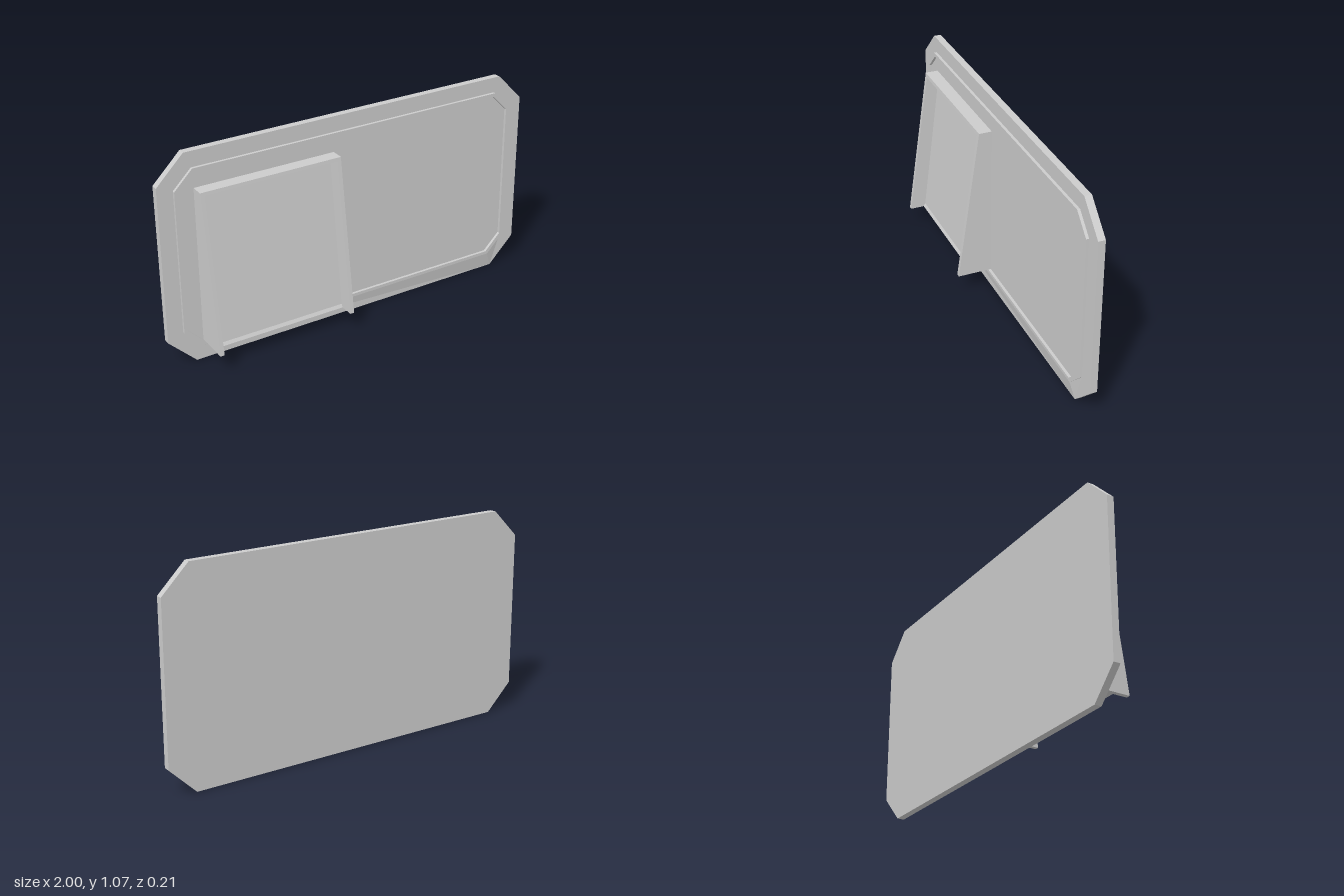
import * as THREE from 'three';

const material = new THREE.MeshStandardMaterial({ color: 0xcccccc, flatShading: true });

function addMesh(parent, name, geometry) {
  const mesh = new THREE.Mesh(geometry, material);
  mesh.name = name;
  parent.add(mesh);
  return mesh;
}

// Rectangle with cut corners, counter-clockwise from the lower left
function octagon(halfWidth, bottom, top, cut) {
  const w = halfWidth, c = w - cut;
  return [[-c, bottom], [c, bottom], [w, bottom + cut], [w, top - cut],
    [c, top], [-c, top], [-w, top - cut], [-w, bottom + cut]];
}

const toShape = (points) => new THREE.Shape(points.map(([x, y]) => new THREE.Vector2(x, y)));

// Extrude a [z, y] profile sideways from x0 to x1
function sideProfile(points, x0, x1) {
  const g = new THREE.ExtrudeGeometry(toShape(points), { depth: x1 - x0, bevelEnabled: false });
  return g.rotateY(-Math.PI / 2).translate(x1, 0, 0);
}

// Join successive closed loops of [x, y, z] points with quads
function loft(loops) {
  const positions = [];
  for (let i = 0; i + 1 < loops.length; i++) {
    const n = loops[i].length;
    for (let j = 0; j < n; j++) {
      const k = (j + 1) % n;
      const a = loops[i][j], b = loops[i][k], c = loops[i + 1][k], d = loops[i + 1][j];
      positions.push(...a, ...b, ...d, ...b, ...c, ...d);
    }
  }
  const g = new THREE.BufferGeometry();
  g.setAttribute('position', new THREE.Float32BufferAttribute(positions, 3));
  g.computeVertexNormals();
  return g;
}

export function createModel() {
  const model = new THREE.Group();
  model.name = 'wallPanel';
  const back = -0.105, face = -0.07, rimFront = -0.056;

  // Back plate with cut corners
  const plate = new THREE.ExtrudeGeometry(toShape(octagon(1, 0, 1.066, 0.138)),
    { depth: face - back, bevelEnabled: false });
  addMesh(model, 'backPlate', plate.translate(0, 0, back));

  // Thin raised rim; its lower right base corner runs out to the plate edge
  const outer = octagon(0.922, 0.08, 0.988, 0.092);
  const inner = octagon(0.905, 0.096, 0.971, 0.086);
  const at = (points, z) => points.map(([x, y]) => [x, y, z]);
  const base = at(outer, face);
  base[1] = [0.862, 0, face];
  addMesh(model, 'raisedRim', loft([base, at(outer, rimFront), at(inner, rimFront), at(inner, face)]));

  // Sloping holder on the front
  const holder = new THREE.Group();
  holder.name = 'holder';
  model.add(holder);
  const left = -0.823, right = -0.102, wall = 0.021;
  const cheek = [[face, 0.102], [0.107, 0.102], [-0.005, 0.887], [face, 0.887]];
  addMesh(holder, 'sideWallRight', sideProfile(cheek, left, left + wall));
  addMesh(holder, 'sideWallLeft', sideProfile(cheek, right - wall, right));

  // Top bar and recessed sloping panel between the side walls
  const topBar = [[face, 0.87], [-0.0026, 0.87], [-0.005, 0.887], [face, 0.887]];
  addMesh(holder, 'topBar', sideProfile(topBar, left + wall, right - wall));
  const panel = [[face, 0.102], [0.035, 0.102], [0.026, 0.118], [-0.068, 0.87], [face, 0.87]];
  addMesh(holder, 'slopedPanel', sideProfile(panel, left + wall, right - wall));

  return model;
}
